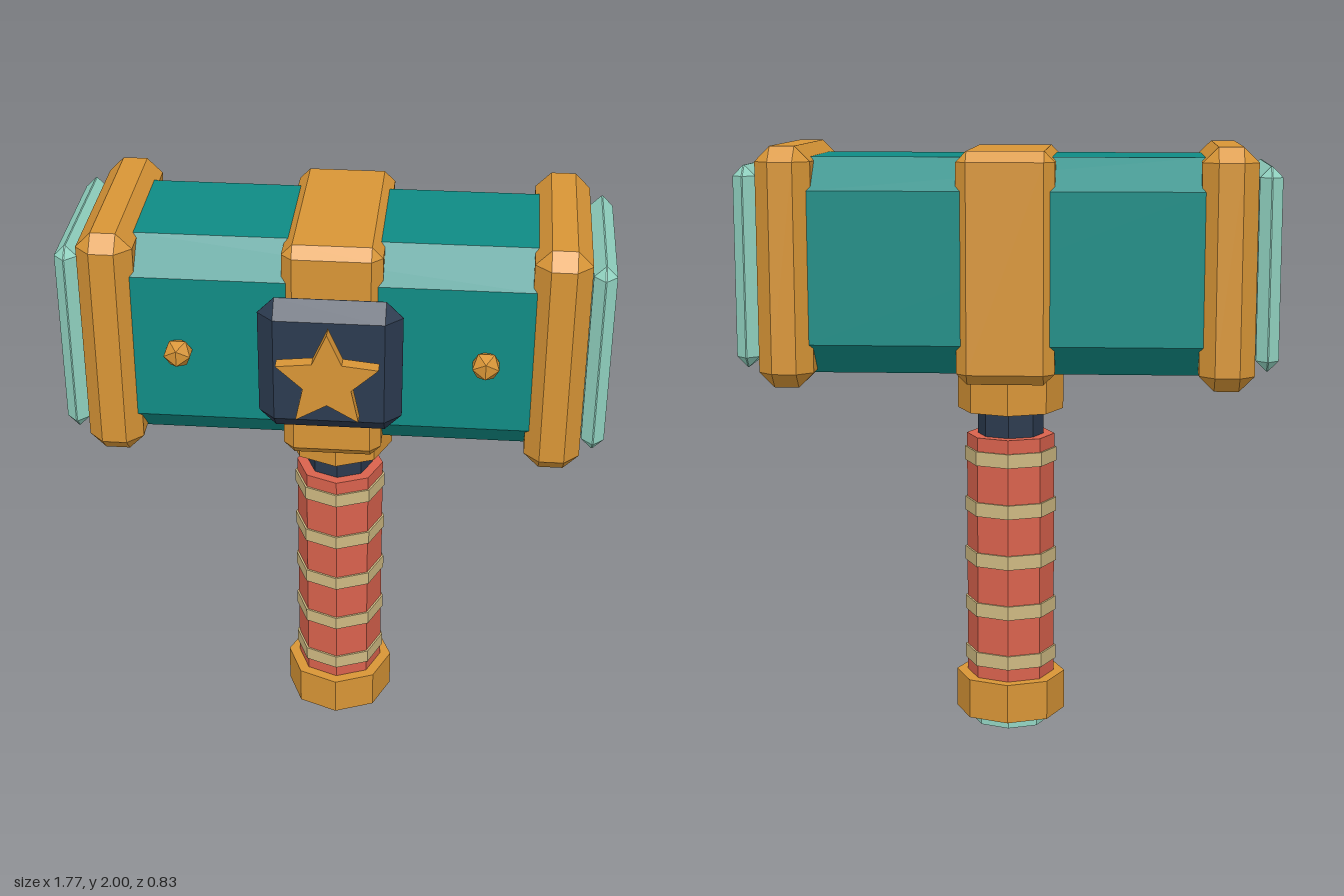
import * as THREE from 'three';
import { ConvexGeometry } from 'three/addons/geometries/ConvexGeometry.js';

const material = (name, color) => {
  const m = new THREE.MeshStandardMaterial({ color });
  m.name = name;
  return m;
};

// Box with every edge and corner cut flat by c
function chamferBox(w, h, d, c) {
  const pts = [];
  const x = w / 2, y = h / 2, z = d / 2;
  for (const i of [-1, 1]) for (const j of [-1, 1]) for (const k of [-1, 1]) {
    pts.push(
      new THREE.Vector3(i * x, j * (y - c), k * (z - c)),
      new THREE.Vector3(i * (x - c), j * y, k * (z - c)),
      new THREE.Vector3(i * (x - c), j * (y - c), k * z)
    );
  }
  return new ConvexGeometry(pts);
}

// Eight-sided prism between two heights, with flat faces
function octagon(radius, y0, y1) {
  const g = new THREE.CylinderGeometry(radius, radius, y1 - y0, 8).toNonIndexed();
  g.translate(0, (y0 + y1) / 2, 0);
  g.computeVertexNormals();
  return g;
}

export function createModel() {
  const model = new THREE.Group();
  model.name = 'warHammer';
  const teal = material('teal', 0x0f8b84);
  const gold = material('gold', 0xd89536);
  const mint = material('mint', 0x94d6c4);
  const navy = material('navy', 0x2b3a4f);
  const red = material('red', 0xd9624d);
  const tan = material('tan', 0xcfba82);

  const add = (parent, name, geometry, mat, x = 0, y = 0, z = 0) => {
    const mesh = new THREE.Mesh(geometry, mat);
    mesh.name = name;
    mesh.position.set(x, y, z);
    parent.add(mesh);
    return mesh;
  };

  // Head, with its own centre as origin
  const head = new THREE.Group();
  head.name = 'head';
  head.position.set(0, 1.607, -0.073);
  model.add(head);
  add(head, 'headCore', chamferBox(1.5, 0.71, 0.61, 0.105), teal);
  add(head, 'centreBand', chamferBox(0.32, 0.755, 0.65, 0.035), gold);
  for (const side of [-1, 1]) {
    const s = side > 0 ? 'left' : 'right';
    add(head, s + 'EndCap', chamferBox(0.18, 0.785, 0.685, 0.05), gold, side * 0.718);
    add(head, s + 'StrikePad', chamferBox(0.074, 0.66, 0.595, 0.035), mint, side * 0.849);
    add(head, s + 'Stud', new THREE.IcosahedronGeometry(0.05, 0), gold, side * 0.492, 0, 0.333);
  }

  // Emblem plate and raised star
  add(head, 'emblemPlate', chamferBox(0.46, 0.46, 0.11, 0.054), navy, 0, 0, 0.363);
  const star = new THREE.Shape();
  for (let i = 0; i < 10; i++) {
    const r = i % 2 ? 0.08 : 0.17;
    const a = Math.PI / 2 + (i * Math.PI) / 5;
    star[i ? 'lineTo' : 'moveTo'](r * Math.cos(a), r * Math.sin(a));
  }
  star.closePath();
  const starGeometry = new THREE.ExtrudeGeometry(star, { depth: 0.045, bevelEnabled: false });
  add(head, 'star', starGeometry, gold, 0, 0, 0.44);

  // Handle, stacked from the foot up
  const handle = new THREE.Group();
  handle.name = 'handle';
  handle.position.z = -0.073;
  model.add(handle);
  add(handle, 'footCap', octagon(0.135, 0, 0.06), mint);
  add(handle, 'pommel', octagon(0.188, 0.037, 0.172), gold);
  add(handle, 'grip', octagon(0.15, 0.15, 1.017), red);
  add(handle, 'neck', octagon(0.113, 0.95, 1.15), navy);
  add(handle, 'collar', octagon(0.18, 1.105, 1.235), gold);
  for (let i = 0; i < 5; i++) {
    const y = 0.24 + i * 0.1765;
    add(handle, 'gripBand' + (i + 1), octagon(0.157, y - 0.024, y + 0.024), tan);
  }
  return model;
}
